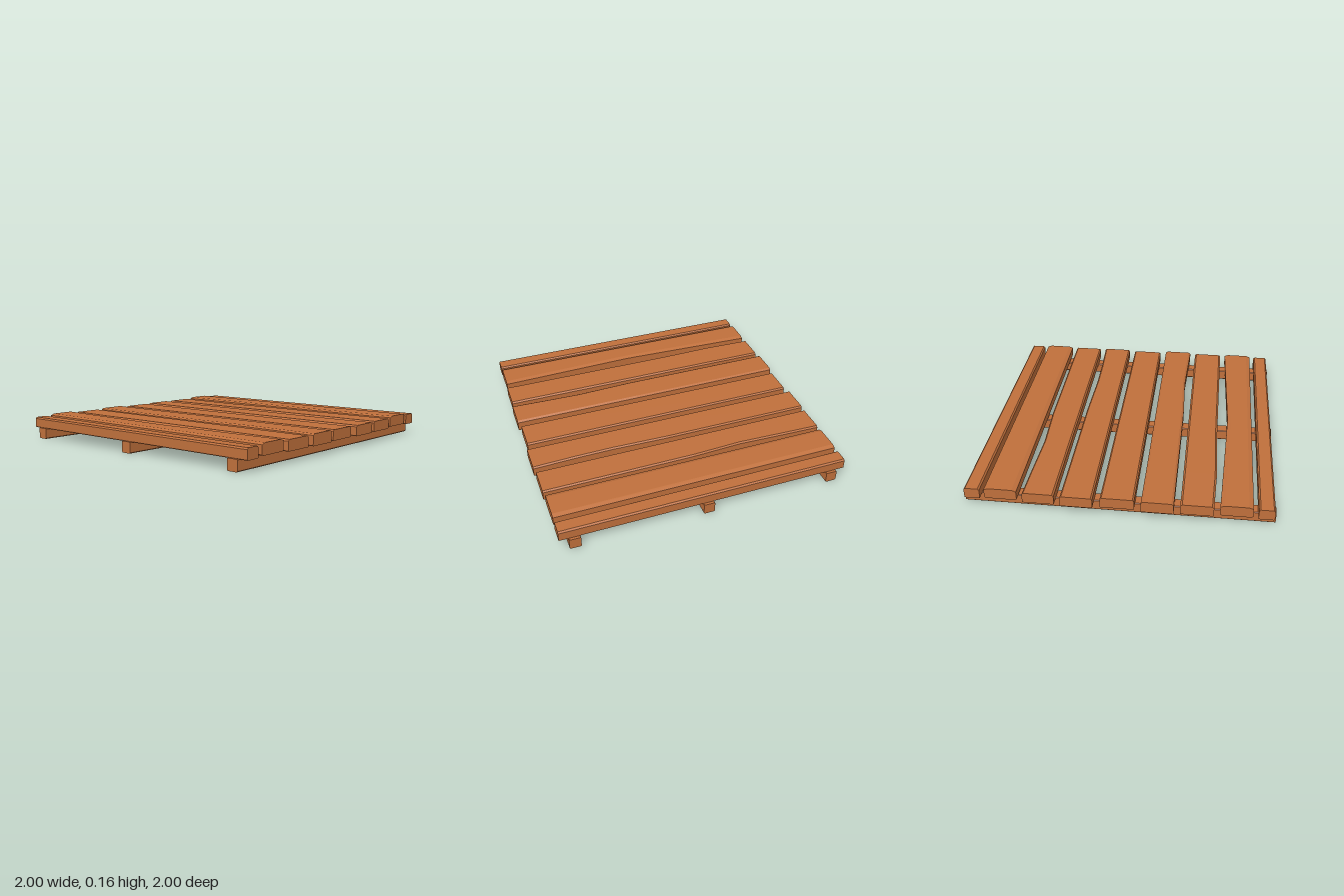
import * as THREE from 'three';

const wood = new THREE.MeshStandardMaterial({ color: 0xc0703c, flatShading: true });

// Lofts a chamfered board through stations [z, left x, right x], ordered by rising z.
function boardGeometry(stations, y0, y1, top, bottom) {
  const rings = stations.map(([z, l, r]) => [
    [l + bottom[0], y0, z], [r - bottom[0], y0, z], [r, y0 + bottom[1], z], [r, y1 - top[1], z],
    [r - top[0], y1, z], [l + top[0], y1, z], [l, y1 - top[1], z], [l, y0 + bottom[1], z],
  ]);
  const pos = [];
  const tri = (a, b, c) => pos.push(...a, ...b, ...c);
  const n = 8;
  for (let s = 0; s < rings.length - 1; s++) {
    const a = rings[s], b = rings[s + 1];
    for (let i = 0; i < n; i++) {
      const j = (i + 1) % n;
      tri(a[i], a[j], b[j]);
      tri(a[i], b[j], b[i]);
    }
  }
  // end caps
  const first = rings[0], last = rings[rings.length - 1];
  for (let i = 1; i < n - 1; i++) {
    tri(first[0], first[i + 1], first[i]);
    tri(last[0], last[i], last[i + 1]);
  }
  const g = new THREE.BufferGeometry();
  g.setAttribute('position', new THREE.Float32BufferAttribute(pos, 3));
  g.computeVertexNormals();
  return g;
}

// Straight board outline, optionally with worn stations between its ends.
const outline = (l, r, half, worn = []) => [[-half, l, r], ...worn, [half, l, r]];

export function createModel() {
  const group = new THREE.Group();
  const add = (name, geometry) => {
    const mesh = new THREE.Mesh(geometry, wood);
    mesh.name = name;
    group.add(mesh);
    return mesh;
  };

  // Three cross beams underneath
  for (const [name, z] of [['backBeam', -0.887], ['middleBeam', 0], ['frontBeam', 0.887]]) {
    const beam = add(name, boardGeometry(outline(-0.038, 0.038, 1), 0, 0.075, [0.004, 0.004], [0.006, 0.006]));
    beam.rotation.y = Math.PI / 2;
    beam.position.z = z;
  }

  // Planks: left x, right x, half length, bottom y, top y, chamfer width, worn stations
  const planks = [
    [-0.987, -0.886, 0.985, 0.072, 0.145, 0.010],
    [-0.853, -0.648, 0.985, 0.080, 0.155, 0.028, [[-0.04, -0.853, -0.68], [0.05, -0.853, -0.68]]],
    [-0.611, -0.401, 0.992, 0.072, 0.145, 0.012, [[-0.65, -0.62, -0.401], [-0.25, -0.611, -0.401]]],
    [-0.361, -0.155, 1.000, 0.072, 0.150, 0.015, [[0.1, -0.359, -0.155], [0.5, -0.344, -0.155], [0.7, -0.35, -0.155]]],
    [-0.111, 0.106, 0.985, 0.072, 0.145, 0.010],
    [0.152, 0.359, 1.000, 0.072, 0.145, 0.010, [[0.05, 0.152, 0.356], [0.45, 0.152, 0.345], [0.7, 0.152, 0.348]]],
    [0.399, 0.604, 0.992, 0.072, 0.145, 0.010, [[-0.75, 0.399, 0.597], [-0.4, 0.399, 0.584], [-0.05, 0.399, 0.6]]],
    [0.641, 0.851, 0.985, 0.080, 0.155, 0.028],
    [0.882, 0.983, 0.985, 0.072, 0.145, 0.010],
  ];
  planks.forEach(([l, r, half, y0, y1, c, worn], i) => {
    const bottom = c > 0.02 ? [0.012, 0.006] : [0.004, 0.004];
    add(`plank${i + 1}`, boardGeometry(outline(l, r, half, worn), y0, y1, [c, 0.01], bottom));
  });
  return group;
}
